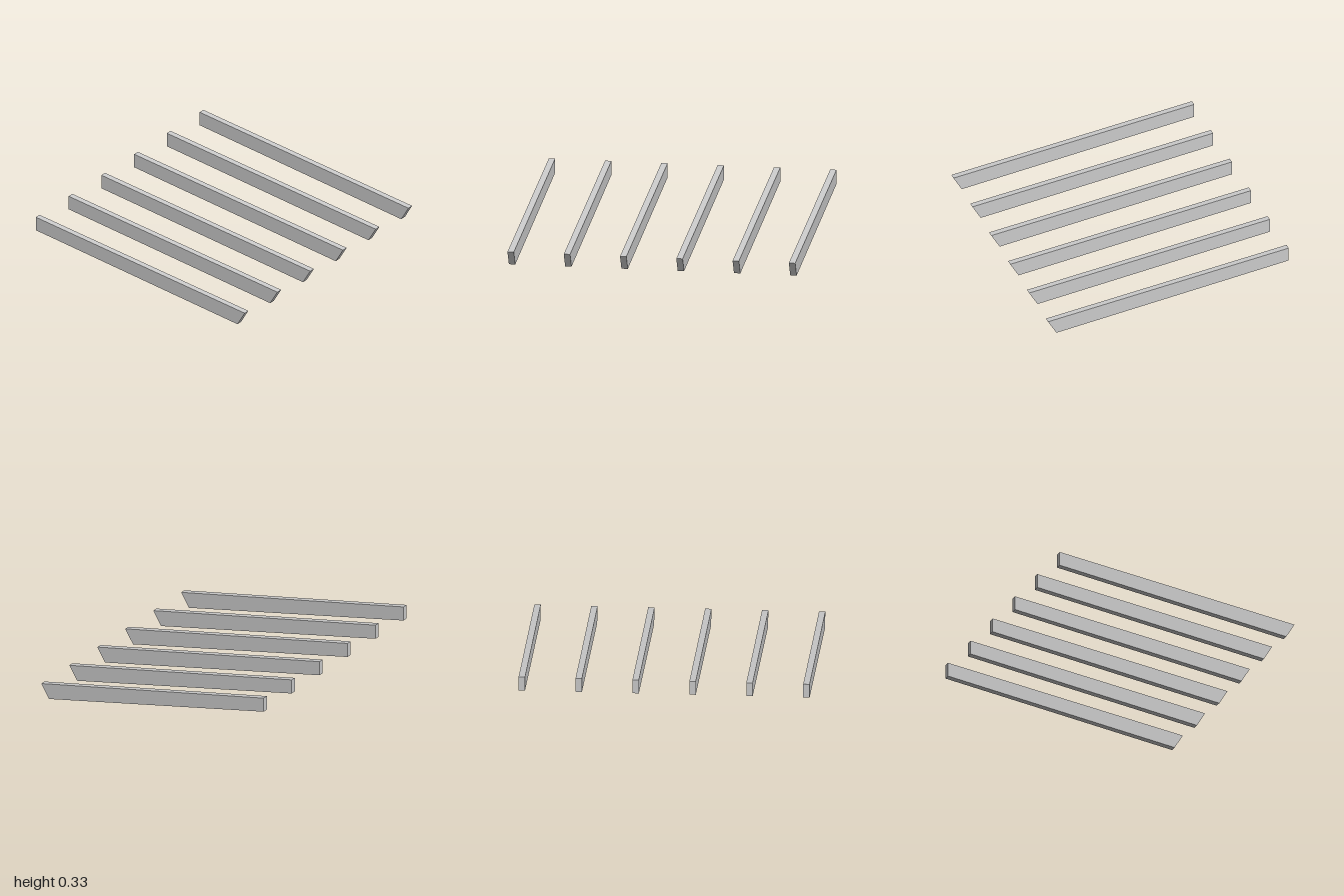
import * as THREE from 'three';

export function createModel() {
  const model = new THREE.Group();
  model.name = 'rafters';
  const material = new THREE.MeshStandardMaterial({ color: 0xcccccc, flatShading: true });

  // Sloping rafter outline: plumb cut at the high end, angled cut at the low end
  const thickness = 0.044;
  const outline = new THREE.Shape([
    new THREE.Vector2(-0.875, 0.233),
    new THREE.Vector2(0.814, 0),
    new THREE.Vector2(0.875, 0.102),
    new THREE.Vector2(-0.875, 0.333),
  ]);
  const geometry = new THREE.ExtrudeGeometry(outline, { depth: thickness, bevelEnabled: false });
  geometry.translate(0, 0, -thickness / 2);

  // Evenly spaced row from back to front
  const count = 6;
  const reach = 1 - thickness / 2;
  for (let i = 0; i < count; i++) {
    const rafter = new THREE.Mesh(geometry, material);
    rafter.name = `rafter${i + 1}`;
    rafter.position.z = -reach + (2 * reach * i) / (count - 1);
    model.add(rafter);
  }
  return model;
}
